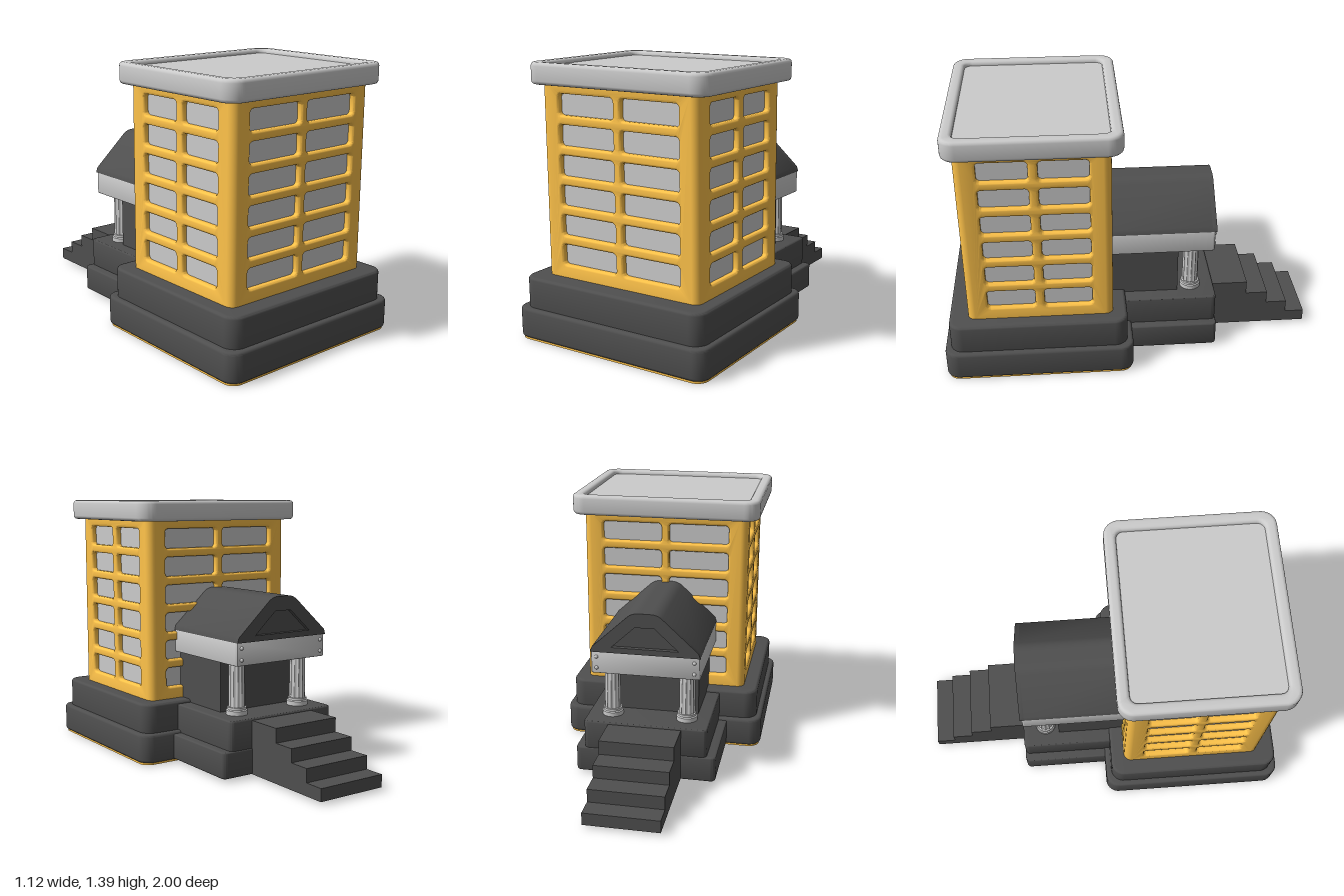
import * as THREE from 'three';
import { toCreasedNormals } from 'three/addons/utils/BufferGeometryUtils.js';

const mat = (color) => new THREE.MeshStandardMaterial({ color });
const grey = mat(0xcccccc), dark = mat(0x4f4f4f), yellow = mat(0xffc34a);

// Rounded rectangle outline, usable as a shape or a hole
function roundRect(x0, y0, x1, y1, r, Type = THREE.Shape) {
  const s = new Type();
  s.absarc(x1 - r, y0 + r, r, -Math.PI / 2, 0);
  s.absarc(x1 - r, y1 - r, r, 0, Math.PI / 2);
  s.absarc(x0 + r, y1 - r, r, Math.PI / 2, Math.PI);
  s.absarc(x0 + r, y0 + r, r, Math.PI, Math.PI * 1.5);
  s.closePath();
  return s;
}

// Extrusion of total thickness t from z = 0, bevelled inwards by b
function extrude(shape, t, b) {
  const g = new THREE.ExtrudeGeometry(shape, {
    depth: t - 2 * b, bevelEnabled: b > 0, bevelSize: b, bevelOffset: -b,
    bevelThickness: b, bevelSegments: 3, curveSegments: 6,
  });
  g.translate(0, 0, b);
  return toCreasedNormals(g, 0.7);
}

export function createModel() {
  const model = new THREE.Group();
  const add = (name, geo, material, x = 0, y = 0, z = 0, parent = model) => {
    const m = new THREE.Mesh(geo, material);
    m.name = name;
    m.position.set(x, y, z);
    parent.add(m);
    return m;
  };
  const box = (name, x0, x1, y0, y1, z0, z1, material) =>
    add(name, new THREE.BoxGeometry(x1 - x0, y1 - y0, z1 - z0), material,
      (x0 + x1) / 2, (y0 + y1) / 2, (z0 + z1) / 2);
  // Horizontal slab with rounded corners; optional hole makes it a ring
  const slab = (name, x0, x1, y0, y1, z0, z1, r, b, material, rim = 0) => {
    const s = roundRect(x0, -z1, x1, -z0, r);
    if (rim) s.holes.push(roundRect(x0 + rim, -z1 + rim, x1 - rim, -z0 - rim, r * 0.5, THREE.Path));
    const g = extrude(s, y1 - y0, b);
    g.rotateX(-Math.PI / 2);
    return add(name, g, material, 0, y0, 0);
  };

  // Stepped base
  slab('basePlate', -0.55, 0.55, 0, 0.02, 0.01, 0.99, 0.06, 0, yellow);
  slab('lowerBase', -0.56, 0.56, 0.01, 0.165, 0, 1, 0.07, 0.015, dark);
  slab('upperBase', -0.53, 0.53, 0.15, 0.322, 0.03, 0.97, 0.07, 0.015, dark);

  // Tower: a grey core seen through four window frames and rounded corner posts
  const cx = 0.003, cz = 0.487, hw = 0.453, hd = 0.383, R = 0.04, B = 0.012;
  const y0 = 0.31, y1 = 1.3;
  const inset = 0.03;
  box('windowPanes', cx - hw + inset, cx + hw - inset, y0, y1, cz - hd + inset, cz + hd - inset, grey);
  const wall = (half, winIn, winOut) => {
    const e = half - R + B;
    const s = new THREE.Shape([[-e, y0], [e, y0], [e, y1], [-e, y1]].map((p) => new THREE.Vector2(...p)));
    for (let row = 0; row < 6; row++) {
      const y = 0.381 + row * 0.1505;
      for (const a of [-winOut, winIn]) {
        s.holes.push(roundRect(a + B / 2, y + B / 2, a + winOut - winIn - B / 2, y + 0.117 - B / 2, 0.02, THREE.Path));
      }
    }
    return extrude(s, R, B);
  };
  const wide = wall(hw, 0.015, 0.355), narrow = wall(hd, 0.018, 0.28);
  [['frontWall', wide, hd], ['leftWall', narrow, hw], ['backWall', wide, hd], ['rightWall', narrow, hw]]
    .forEach(([name, geo, dist], i) => {
      const a = (i * Math.PI) / 2, d = dist - R;
      add(name, geo, yellow, cx + Math.sin(a) * d, 0, cz + Math.cos(a) * d).rotation.y = a;
    });
  for (const sx of [-1, 1]) for (const sz of [-1, 1]) {
    add('cornerPost', new THREE.CylinderGeometry(R, R, y1 - y0, 24), yellow,
      cx + sx * (hw - R), (y0 + y1) / 2, cz + sz * (hd - R));
  }

  // Flat roof with a raised rim
  slab('roofRim', -0.51, 0.52, 1.285, 1.393, 0.045, 0.92, 0.08, 0.018, grey, 0.062);
  slab('roofDeck', -0.47, 0.48, 1.29, 1.37, 0.085, 0.88, 0.05, 0, grey);

  // Porch platform and stairs behind the tower
  slab('lowerPorchBase', -0.372, 0.375, 0.015, 0.152, -0.468, 0.1, 0.025, 0.008, dark);
  slab('upperPorchBase', -0.325, 0.33, 0.145, 0.305, -0.465, 0.12, 0.025, 0.008, dark);
  const stairs = new THREE.Shape();
  stairs.moveTo(0.4, 0.015);
  [[1, 0.015], [1, 0.08], [0.895, 0.08], [0.895, 0.15], [0.78, 0.15], [0.78, 0.22],
    [0.66, 0.22], [0.66, 0.295], [0.4, 0.295]].forEach((p) => stairs.lineTo(...p));
  const stairGeo = extrude(stairs, 0.388, 0);
  stairGeo.rotateY(Math.PI / 2);
  add('stairs', stairGeo, dark, -0.19, 0, 0);

  // Entrance hall and its grey fascia
  box('entranceHall', -0.25, 0.25, 0.3, 0.58, -0.26, 0.13, dark);
  slab('fascia', -0.285, 0.285, 0.577, 0.698, -0.452, 0.13, 0.012, 0.005, grey);
  for (const x of [-0.255, 0.255]) for (const y of [0.607, 0.667]) {
    add('fasciaStud', new THREE.SphereGeometry(0.01, 12, 8), grey, x, y, -0.452);
  }

  // Gable roof with a rounded ridge and a recessed pediment
  const gable = () => {
    const s = new THREE.Shape();
    s.moveTo(-0.285, 0.695);
    s.lineTo(0.285, 0.695);
    s.lineTo(0.277, 0.722);
    s.lineTo(0.09, 0.893);
    s.quadraticCurveTo(0.065, 0.915, 0.03, 0.915);
    s.lineTo(-0.03, 0.915);
    s.quadraticCurveTo(-0.065, 0.915, -0.09, 0.893);
    s.lineTo(-0.277, 0.722);
    s.closePath();
    return s;
  };
  const front = gable();
  front.holes.push(new THREE.Path([[-0.175, 0.725], [-0.05, 0.84], [0.05, 0.84], [0.175, 0.725]]
    .map((p) => new THREE.Vector2(...p))));
  add('gableRoof', extrude(gable(), 0.565, 0), dark, 0, 0, -0.435);
  add('pedimentFrame', extrude(front, 0.025, 0), dark, 0, 0, -0.459);

  // Fluted columns
  const shaft = new THREE.CylinderGeometry(0.042, 0.044, 0.24, 72, 1);
  const pos = shaft.attributes.position;
  for (let i = 0; i < pos.count; i++) {
    const x = pos.getX(i), z = pos.getZ(i);
    const k = 1 - 0.12 * Math.abs(Math.sin(Math.atan2(z, x) * 6));
    pos.setXYZ(i, x * k, pos.getY(i), z * k);
  }
  shaft.computeVertexNormals();
  const foot = new THREE.LatheGeometry([[0, 0], [0.056, 0], [0.056, 0.025], [0.05, 0.03], [0.05, 0.042], [0, 0.042]]
    .map((p) => new THREE.Vector2(...p)), 32);
  const footGeo = toCreasedNormals(foot, 0.7);
  for (const side of [-1, 1]) {
    const column = new THREE.Group();
    column.name = side > 0 ? 'leftColumn' : 'rightColumn';
    column.position.set(side * 0.2, 0.303, -0.335);
    add('columnShaft', shaft, grey, 0, 0.16, 0, column);
    add('columnFoot', footGeo, grey, 0, 0, 0, column);
    model.add(column);
  }
  return model;
}
